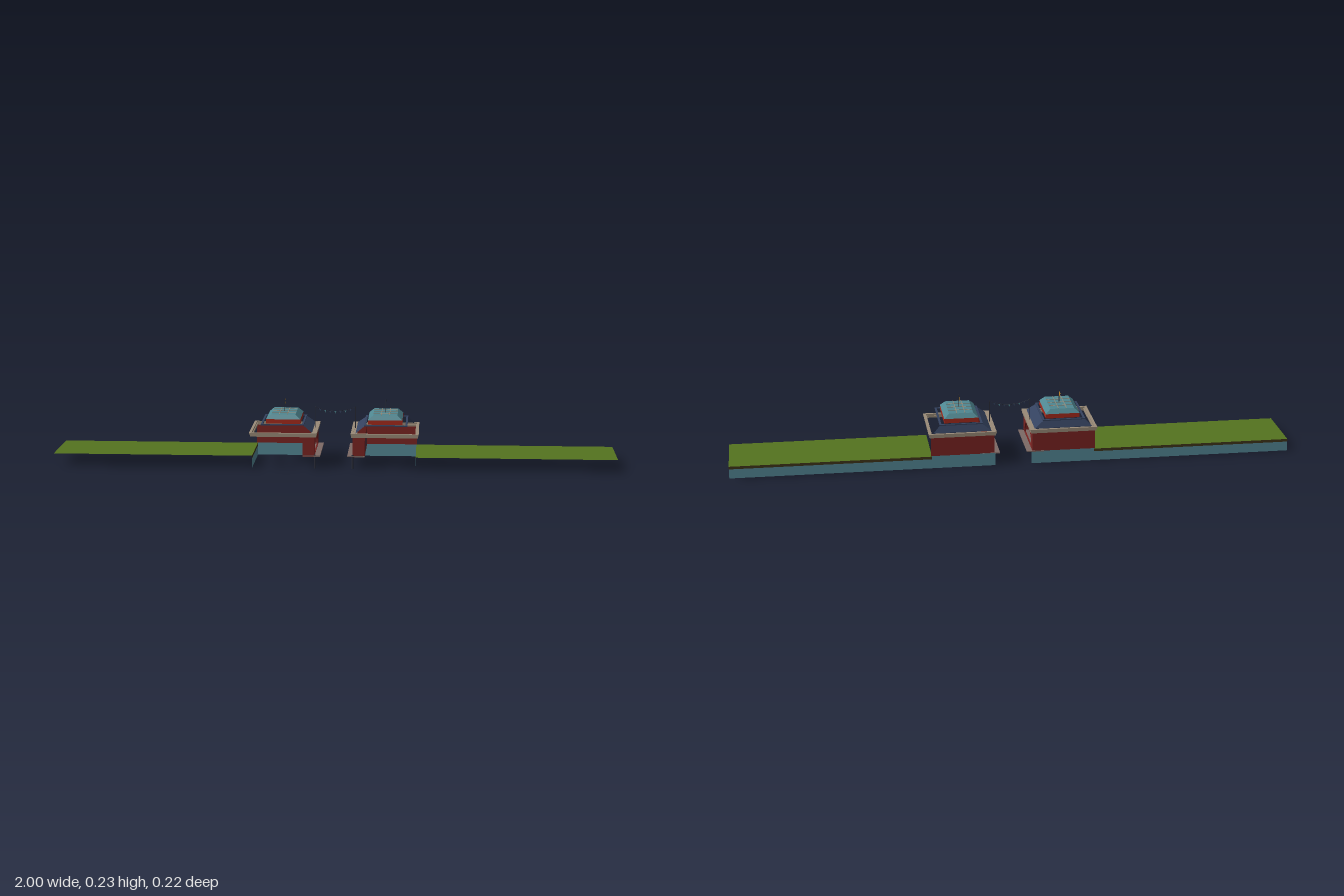
import * as THREE from 'three';

const mat = (color, side = THREE.DoubleSide) => new THREE.MeshStandardMaterial({ color, side });
const M = {
  grass: mat(0x55741f), edge: mat(0x40351a), quay: mat(0x568a98), brick: mat(0x7c2422),
  stone: mat(0x9a8b78), slate: mat(0x34425f), band: mat(0xa82a1c), glass: mat(0x4f8791),
  pane: mat(0x3b3d55), floor: mat(0x7d6a66), iron: mat(0x2a2c38), flag: mat(0xc98a28),
  innerBrick: mat(0x7c2422, THREE.FrontSide), innerPane: mat(0x3b3d55, THREE.FrontSide),
};

function add(parent, name, geometry, material, x = 0, y = 0, z = 0) {
  const mesh = new THREE.Mesh(geometry, material);
  mesh.name = name;
  mesh.position.set(x, y, z);
  parent.add(mesh);
  return mesh;
}

// Box given by its limits on each axis
function box(parent, name, material, x0, x1, y0, y1, z0, z1) {
  return add(parent, name, new THREE.BoxGeometry(Math.abs(x1 - x0), y1 - y0, z1 - z0),
    material, (x0 + x1) / 2, (y0 + y1) / 2, (z0 + z1) / 2);
}

// Flat four-cornered panel
function quad(parent, name, material, a, b, c, d) {
  const g = new THREE.BufferGeometry();
  g.setAttribute('position', new THREE.Float32BufferAttribute([...a, ...b, ...c, ...d], 3));
  g.setIndex([0, 1, 2, 0, 2, 3]);
  g.computeVertexNormals();
  return add(parent, name, g, material);
}

// Rectangular ring of four bars
function frame(parent, name, material, s, x0, x1, y0, y1, z, w) {
  for (const e of [-1, 1]) {
    const zc = e * (z - w / 2);
    box(parent, name, material, s * x0, s * x1, y0, y1, zc - w / 2, zc + w / 2);
  }
  box(parent, name, material, s * x0, s * (x0 + w), y0, y1, -z + w, z - w);
  box(parent, name, material, s * (x1 - w), s * x1, y0, y1, -z + w, z - w);
}

// Four corners of a level rectangle
const ring = (s, x0, x1, y, z) =>
  [[s * x0, y, -z], [s * x1, y, -z], [s * x1, y, z], [s * x0, y, z]];

function bank(s) {
  const g = new THREE.Group();
  g.name = 'grassBank';
  quad(g, 'lawn', M.grass, [s * 0.29, 0.044, 0.11], [s, 0.044, 0.11], [s, 0.044, -0.11], [s * 0.29, 0.044, -0.11]);
  // Quay walls along the back and across the inner end
  quad(g, 'backQuayWall', M.quay, [s * 0.065, 0, -0.11], [s, 0, -0.11], [s, 0.034, -0.11], [s * 0.065, 0.034, -0.11]);
  quad(g, 'backCoping', M.edge, [s * 0.29, 0.034, -0.11], [s, 0.034, -0.11], [s, 0.044, -0.11], [s * 0.29, 0.044, -0.11]);
  quad(g, 'buildingPlinth', M.quay, [s * 0.065, 0.034, -0.11], [s * 0.29, 0.034, -0.11], [s * 0.29, 0.046, -0.11], [s * 0.065, 0.046, -0.11]);
  quad(g, 'endQuayWall', M.quay, [s * 0.29, 0, 0.11], [s * 0.29, 0, -0.11], [s * 0.29, 0.034, -0.11], [s * 0.29, 0.034, 0.11]);
  quad(g, 'endCoping', M.edge, [s * 0.29, 0.034, 0.11], [s * 0.29, 0.034, -0.11], [s * 0.29, 0.044, -0.11], [s * 0.29, 0.044, 0.11]);
  return g;
}

function archWall() {
  const shape = new THREE.Shape();
  shape.moveTo(-0.108, 0.042).lineTo(0.108, 0.042).lineTo(0.108, 0.115).lineTo(-0.108, 0.115).closePath();
  const hole = new THREE.Path();
  hole.moveTo(-0.08, 0.05).lineTo(-0.08, 0.062);
  hole.absellipse(0, 0.062, 0.08, 0.042, Math.PI, 0, true);
  hole.lineTo(0.08, 0.05).closePath();
  shape.holes.push(hole);
  const g = new THREE.ExtrudeGeometry(shape, { depth: 0.005, bevelEnabled: false, curveSegments: 16 });
  return g.translate(0, 0, -0.0025).rotateY(Math.PI / 2);
}

function pavilion(s) {
  const g = new THREE.Group();
  g.name = 'pavilion';
  // Walls and gallery, open towards the front and the outer end
  quad(g, 'backWall', M.brick, [s * 0.068, 0.045, -0.108], [s * 0.293, 0.045, -0.108], [s * 0.293, 0.115, -0.108], [s * 0.068, 0.115, -0.108]);
  add(g, 'archWall', archWall(), M.brick, s * 0.07);
  quad(g, 'gallerySide', M.brick, [s * 0.07, 0.042, 0.108], [s * 0.11, 0.042, 0.108], [s * 0.11, 0.115, 0.108], [s * 0.07, 0.115, 0.108]);
  box(g, 'galleryFloor', M.floor, s * 0.048, s * 0.11, 0.043, 0.047, -0.11, 0.11);
  const wall = add(g, 'galleryWall', new THREE.PlaneGeometry(0.216, 0.073), M.innerBrick, s * 0.11, 0.0785, 0);
  wall.rotation.y = s * Math.PI / 2;
  for (const e of [-1, 1]) {
    const pane = add(g, 'galleryWindow', new THREE.PlaneGeometry(0.065, 0.047), M.innerPane, s * 0.1112, 0.0765, e * 0.0575);
    pane.rotation.y = s * Math.PI / 2;
  }
  add(g, 'cornerPile', new THREE.CylinderGeometry(0.003, 0.003, 0.05, 8), M.iron, s * 0.067, 0.025, 0.107);

  // Cornice around the whole plan
  frame(g, 'cornice', M.stone, s, 0.062, 0.297, 0.113, 0.121, 0.11, 0.009);
  frame(g, 'corniceCap', M.stone, s, 0.06, 0.3, 0.121, 0.127, 0.112, 0.009);
  box(g, 'corniceLedge', M.stone, s * 0.062, s * 0.082, 0.122, 0.126, -0.108, 0.108);

  // Lower roof: inner and back slopes, with an edge rail
  const a = ring(s, 0.077, 0.283, 0.127, 0.1), b = ring(s, 0.112, 0.257, 0.154, 0.09);
  quad(g, 'innerRoofSlope', M.slate, a[3], a[0], b[0], b[3]);
  quad(g, 'backRoofSlope', M.slate, a[0], a[1], b[1], b[0]);
  frame(g, 'roofRail', M.slate, s, 0.107, 0.26, 0.151, 0.155, 0.092, 0.007);

  // Raised lantern: red band, sloping glazing and glazing bars
  const c = ring(s, 0.12, 0.242, 0.154, 0.076), d = ring(s, 0.12, 0.242, 0.17, 0.076);
  const e = ring(s, 0.138, 0.224, 0.186, 0.066);
  for (let i = 0; i < 4; i++) {
    const j = (i + 1) % 4;
    quad(g, 'lanternBand', M.band, c[i], c[j], d[j], d[i]);
    quad(g, 'lanternSlope', M.glass, d[i], d[j], e[j], e[i]);
  }
  quad(g, 'skylight', M.glass, ...e);
  for (const x of [0.166, 0.195]) box(g, 'glazingBar', M.stone, s * x, s * (x + 0.002), 0.186, 0.1875, -0.066, 0.066);
  for (const z of [-0.033, 0, 0.033]) box(g, 'glazingBar', M.stone, s * 0.138, s * 0.224, 0.186, 0.1875, z - 0.001, z + 0.001);

  // Flagpole with a swallow-tailed flag
  add(g, 'flagpole', new THREE.CylinderGeometry(0.0013, 0.0013, 0.046, 8), M.iron, s * 0.181, 0.209, 0.006);
  const flag = new THREE.Shape();
  flag.moveTo(0, 0).lineTo(0.027, 0).lineTo(0.018, 0.009).lineTo(0.027, 0.018).lineTo(0, 0.018).closePath();
  add(g, 'flag', new THREE.ShapeGeometry(flag), M.flag, s * 0.181, 0.21, 0.005).rotation.y = Math.PI / 2;

  // Post that carries the bunting
  add(g, 'buntingPost', new THREE.CylinderGeometry(0.0015, 0.0015, 0.08, 8), M.iron, s * 0.072, 0.164, 0);
  return g;
}

function bunting() {
  const g = new THREE.Group();
  g.name = 'bunting';
  const curve = new THREE.QuadraticBezierCurve3(
    new THREE.Vector3(-0.072, 0.202, 0), new THREE.Vector3(0, 0.172, 0), new THREE.Vector3(0.072, 0.202, 0));
  add(g, 'rope', new THREE.TubeGeometry(curve, 20, 0.0007, 5), M.iron);
  const pennant = new THREE.Shape();
  pennant.moveTo(-0.004, 0).lineTo(0, -0.009).lineTo(0.004, 0).closePath();
  for (let i = 1; i < 8; i++) {
    const p = curve.getPoint(i / 8);
    add(g, 'pennant', new THREE.ShapeGeometry(pennant), i % 2 ? M.slate : M.glass, p.x, p.y, 0);
  }
  return g;
}

export function createModel() {
  const model = new THREE.Group();
  model.name = 'riversidePavilions';
  for (const s of [-1, 1]) model.add(bank(s), pavilion(s));
  model.add(bunting());
  return model;
}
